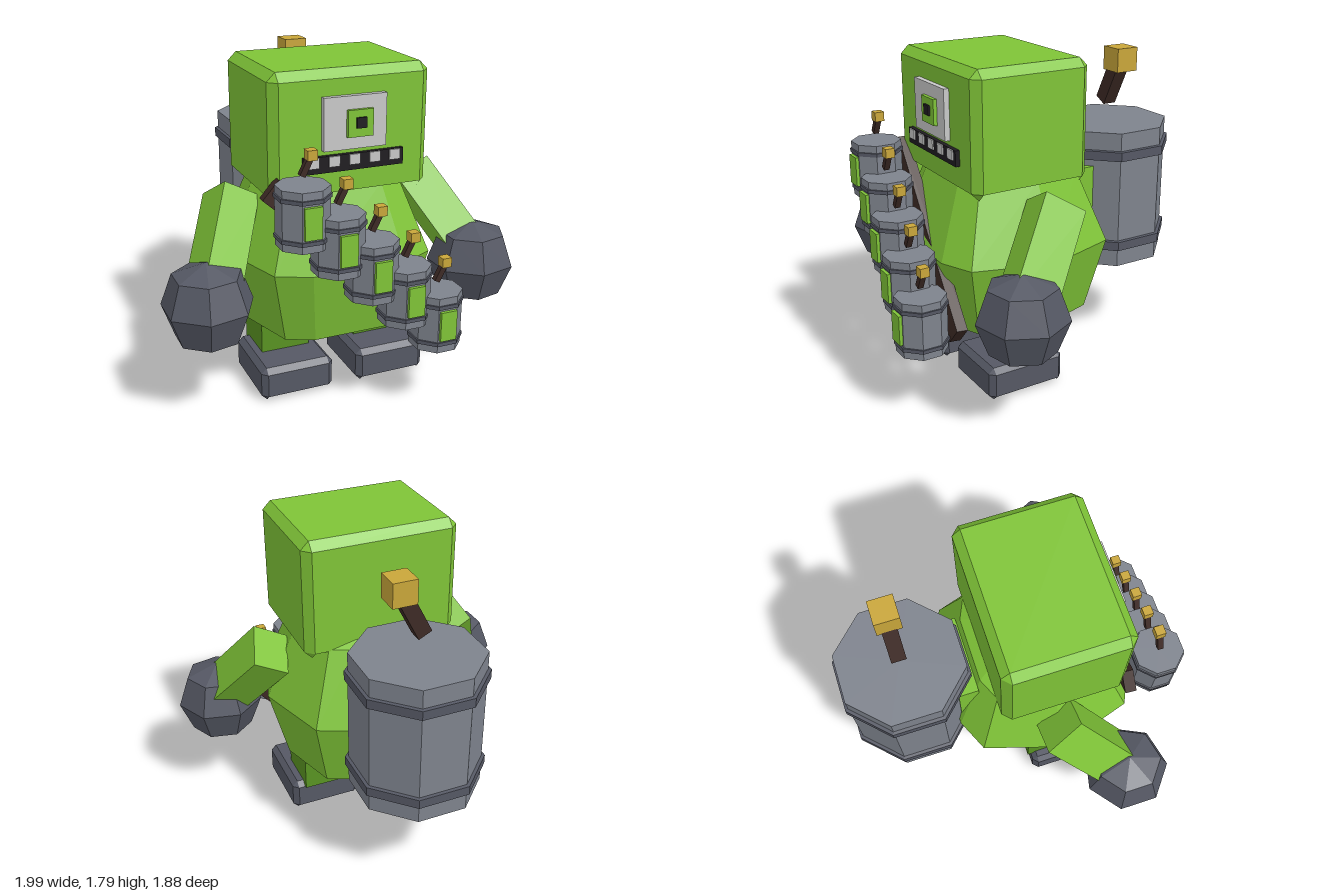
import * as THREE from 'three';

const mat = (name, color, side = THREE.FrontSide) => {
  const m = new THREE.MeshStandardMaterial({ color, side, flatShading: true });
  m.name = name;
  return m;
};

// Skins rings of equal point count, listed from bottom to top, plus loose triangles
function loft(rings, extra = []) {
  const out = [];
  const tri = (a, b, c) => out.push(...a, ...b, ...c);
  for (let r = 0; r < rings.length - 1; r++) {
    const lo = rings[r], hi = rings[r + 1], n = lo.length;
    for (let i = 0; i < n; i++) {
      const j = (i + 1) % n;
      tri(lo[i], lo[j], hi[j]);
      tri(lo[i], hi[j], hi[i]);
    }
  }
  extra.forEach((t) => tri(...t));
  const g = new THREE.BufferGeometry();
  g.setAttribute('position', new THREE.Float32BufferAttribute(out, 3));
  g.computeVertexNormals();
  return g;
}

// Box with chamfered top and corners, open below, with pointed corner tips
function chamferShell(w, h, d, b) {
  const x = w / 2, z = d / 2, xi = x - b, zi = z - b;
  const plan = [[xi, z], [x, zi], [x, -zi], [xi, -z], [-xi, -z], [-x, -zi], [-x, zi], [-xi, z]];
  const low = plan.map(([px, pz]) => [px, 0, pz]);
  const high = plan.map(([px, pz]) => [px, h - b, pz]);
  const top = plan.map(([px, pz]) => [Math.sign(px) * xi, h, Math.sign(pz) * zi]);
  const extra = [[top[0], top[2], top[4]], [top[0], top[4], top[6]]];
  for (let i = 0; i < 8; i += 2) extra.push([[top[i][0], -b, top[i][2]], low[i + 1], low[i]]);
  return loft([low, high, top], extra);
}

const octagonLathe = (points) => new THREE.LatheGeometry(
  points.map(([apothem, y]) => new THREE.Vector2(apothem / Math.cos(Math.PI / 8), y)), 8, Math.PI / 8);

export function createModel() {
  const green = mat('skin green', 0x7fc437, THREE.DoubleSide);
  const darkGreen = mat('leg green', 0x599322);
  const slate = mat('dark slate', 0x555864, THREE.DoubleSide);
  const steel = mat('barrel grey', 0x7e838d);
  const brown = mat('strap brown', 0x3d2a25);
  const gold = mat('spark gold', 0xc9a63a);
  const pale = mat('pale grey', 0xc8c8c8);
  const black = mat('near black', 0x1f1c20);

  const model = new THREE.Group();
  const add = (name, geometry, material, x = 0, y = 0, z = 0, parent = model) => {
    const m = new THREE.Mesh(geometry, material);
    m.name = name;
    m.position.set(x, y, z);
    parent.add(m);
    return m;
  };
  const box = (name, material, w, h, d, x, y, z, parent) =>
    add(name, new THREE.BoxGeometry(w, h, d), material, x, y, z, parent);

  // Faceted barrel-shaped body
  const half = [[0.26, 0.5], [0.44, 0.42], [0.57, 0], [0.44, -0.42], [0.26, -0.5]];
  const section = [...half, ...half.map(([x, z]) => [-x, z]).reverse()];
  const bodyRings = [[0, 0.36], [0.81, 0.36], [1, 0.77], [0.7, 1.17], [0.45, 1.25], [0, 1.25]]
    .map(([k, y]) => section.map(([x, z]) => [x * k, y, z * k]));
  add('body', loft(bodyRings), green, -0.012, 0, 0.12);

  // Head and face
  add('head', chamferShell(0.87, 0.625, 0.685, 0.045), green, -0.015, 1.165, 0.163);
  box('eyePlate', pale, 0.34, 0.27, 0.04, -0.012, 1.525, 0.515);
  box('iris', green, 0.138, 0.138, 0.03, 0.008, 1.523, 0.54);
  box('pupil', black, 0.054, 0.054, 0.02, 0.01, 1.527, 0.556);
  box('mouth', black, 0.545, 0.085, 0.03, -0.013, 1.322, 0.515);
  for (let i = 0; i < 5; i++) box('tooth', pale, 0.058, 0.053, 0.03, -0.235 + i * 0.111, 1.336, 0.523);

  // Arms, hands, legs and feet
  const handProfile = [[0, -0.175], [0.175, -0.175], [0.242, 0], [0.18, 0.17], [0, 0.235]]
    .map(([r, y]) => new THREE.Vector2(r, y));
  const handGeometry = new THREE.LatheGeometry(handProfile, 7, Math.PI / 2);
  for (const s of [-1, 1]) {
    const side = s > 0 ? 'left' : 'right';
    const start = new THREE.Vector3(s * 0.53, 1.08, 0.1);
    const end = new THREE.Vector3(s * 0.76, 0.65, 0.44);
    const along = start.clone().sub(end).normalize();
    const across = new THREE.Vector3(-along.y, along.x, 0).normalize();
    const depth = new THREE.Vector3().crossVectors(across, along);
    const length = start.distanceTo(end);
    const mid = start.clone().add(end).multiplyScalar(0.5);
    const arm = box(side + 'Arm', green, 0.21, length, 0.24, mid.x, mid.y, mid.z);
    arm.quaternion.setFromRotationMatrix(new THREE.Matrix4().makeBasis(across, along, depth));
    add(side + 'Hand', handGeometry, slate, s > 0 ? 0.758 : -0.775, 0.63, 0.44);

    const x = -0.012 + s * 0.277;
    box(side + 'Leg', darkGreen, 0.275, 0.19, 0.27, x, 0.26, 0.115);
    add(side + 'Foot', chamferShell(0.41, 0.16, 0.455, 0.03), slate, x, 0.03, 0.228);
  }

  // Octagonal barrel with hollow foot, two bands and a tilted fuse
  const barrelGeometry = octagonLathe(
    [[0, -0.29], [0.28, -0.29], [0.31, -0.395], [0.325, -0.395], [0.325, 0.395], [0, 0.395]]);
  const bandGeometry = octagonLathe([[0.32, -0.03], [0.342, -0.026], [0.342, 0.026], [0.32, 0.03]]);
  const barrel = (name, x, y, z, scale) => {
    const g = new THREE.Group();
    g.name = name;
    g.position.set(x, y, z);
    g.scale.setScalar(scale);
    add('barrelBody', barrelGeometry, steel, 0, 0, 0, g);
    for (const by of [-0.268, 0.265]) add('band', bandGeometry, slate, 0, by, 0, g);
    const fuse = box('fuse', brown, 0.08, 0.22, 0.08, 0.035, 0.605, 0, g);
    fuse.rotation.z = -0.47;
    box('spark', gold, 0.132, 0.132, 0.132, 0.11, 0.766, 0, g);
    model.add(g);
    return g;
  };

  // Large barrel on the back with its mount
  barrel('backBarrel', -0.012, 0.925, -0.605, 1);
  box('barrelMount', green, 0.44, 0.42, 0.11, -0.012, 0.915, -0.305);

  // Chest strap carrying five small barrels
  const strapAxis = new THREE.Vector3(0.174, -0.155, 0.023).normalize();
  const strapUp = new THREE.Vector3(-strapAxis.y, strapAxis.x, 0).normalize();
  const strapOut = new THREE.Vector3().crossVectors(strapAxis, strapUp);
  const strap = box('chestStrap', brown, 1.2, 0.13, 0.06, -0.015, 0.83, 0.565);
  strap.quaternion.setFromRotationMatrix(new THREE.Matrix4().makeBasis(strapAxis, strapUp, strapOut));
  for (let i = 0; i < 5; i++) {
    const b = barrel('chestBarrel', -0.36 + i * 0.175, 1.145 - i * 0.156, 0.695 + i * 0.0235, 0.385);
    box('barrelPanel', green, 0.235, 0.42, 0.1, 0, 0, 0.32, b);
  }
  return model;
}
